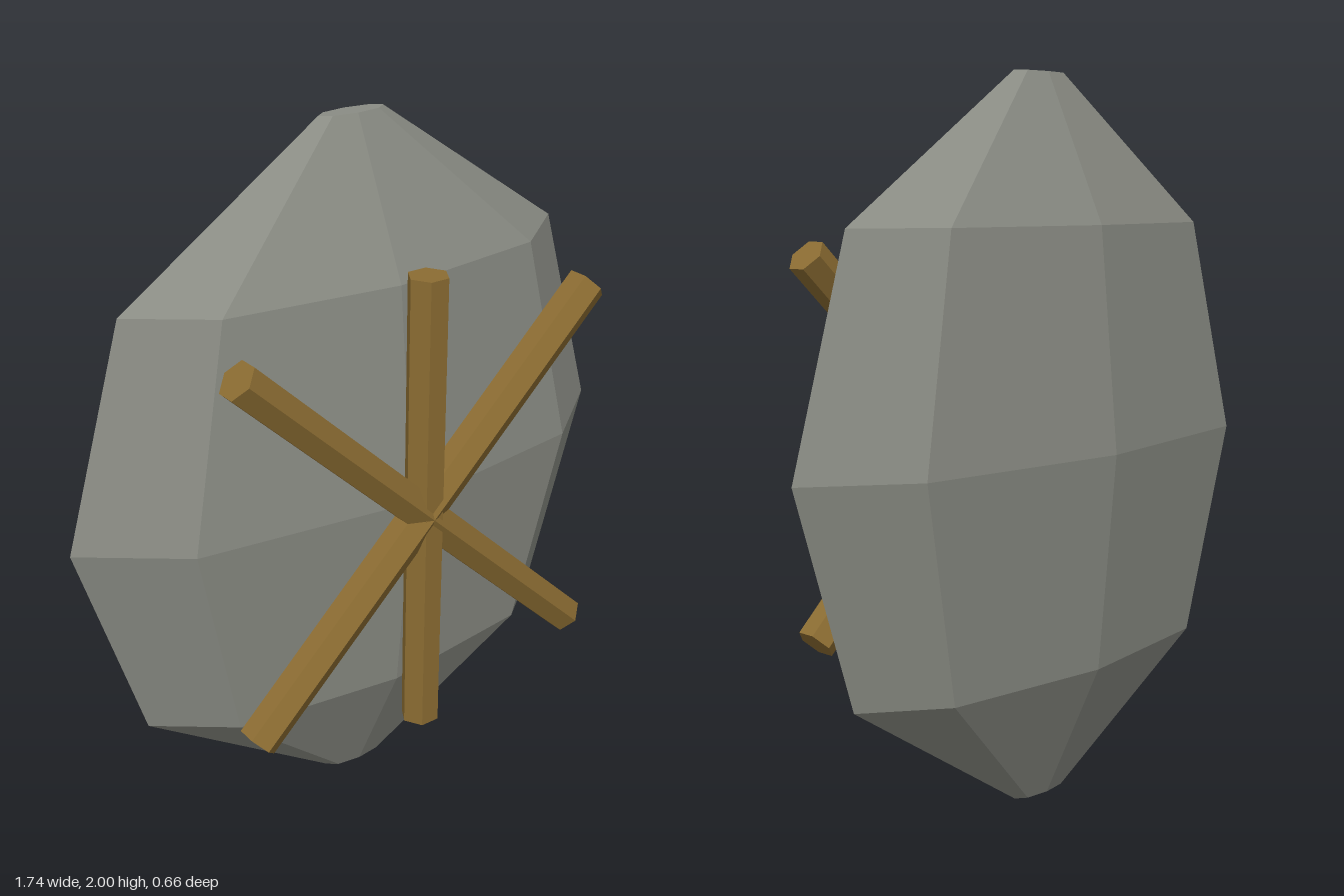
import * as THREE from 'three';

export function createModel() {
  const group = new THREE.Group();
  const stone = new THREE.MeshStandardMaterial({ color: 0x8a8c84, flatShading: true });
  const wood = new THREE.MeshStandardMaterial({ color: 0x8b6c32, flatShading: true });

  // Flattened eight-sided body with small flat caps
  const profile = [[0, 0], [0.1, 0], [0.69, 0.4], [0.87, 1], [0.69, 1.6], [0.1, 2], [0, 2]];
  const body = new THREE.Mesh(
    new THREE.LatheGeometry(profile.map(([r, y]) => new THREE.Vector2(r, y)), 8), stone);
  body.name = 'body';
  body.scale.z = 0.316;
  body.position.z = -0.052;
  group.add(body);

  // Three crossed hexagonal rods on the front
  function addRod(name, x1, y1, x2, y2, twist) {
    const a = new THREE.Vector3(x1, y1, 0.275);
    const b = new THREE.Vector3(x2, y2, 0.275);
    const geometry = new THREE.CylinderGeometry(0.055, 0.055, a.distanceTo(b), 6);
    geometry.rotateY(twist);
    const rod = new THREE.Mesh(geometry, wood);
    rod.name = name;
    rod.position.copy(a).add(b).multiplyScalar(0.5);
    rod.rotation.z = Math.atan2(x1 - x2, y2 - y1);
    group.add(rod);
  }
  addRod('verticalRod', 0, 0.34, 0, 1.66, Math.PI / 6);
  addRod('risingRod', -0.54, 0.48, 0.54, 1.523, 0);
  addRod('fallingRod', 0.537, 0.48, -0.558, 1.522, 0);

  return group;
}
